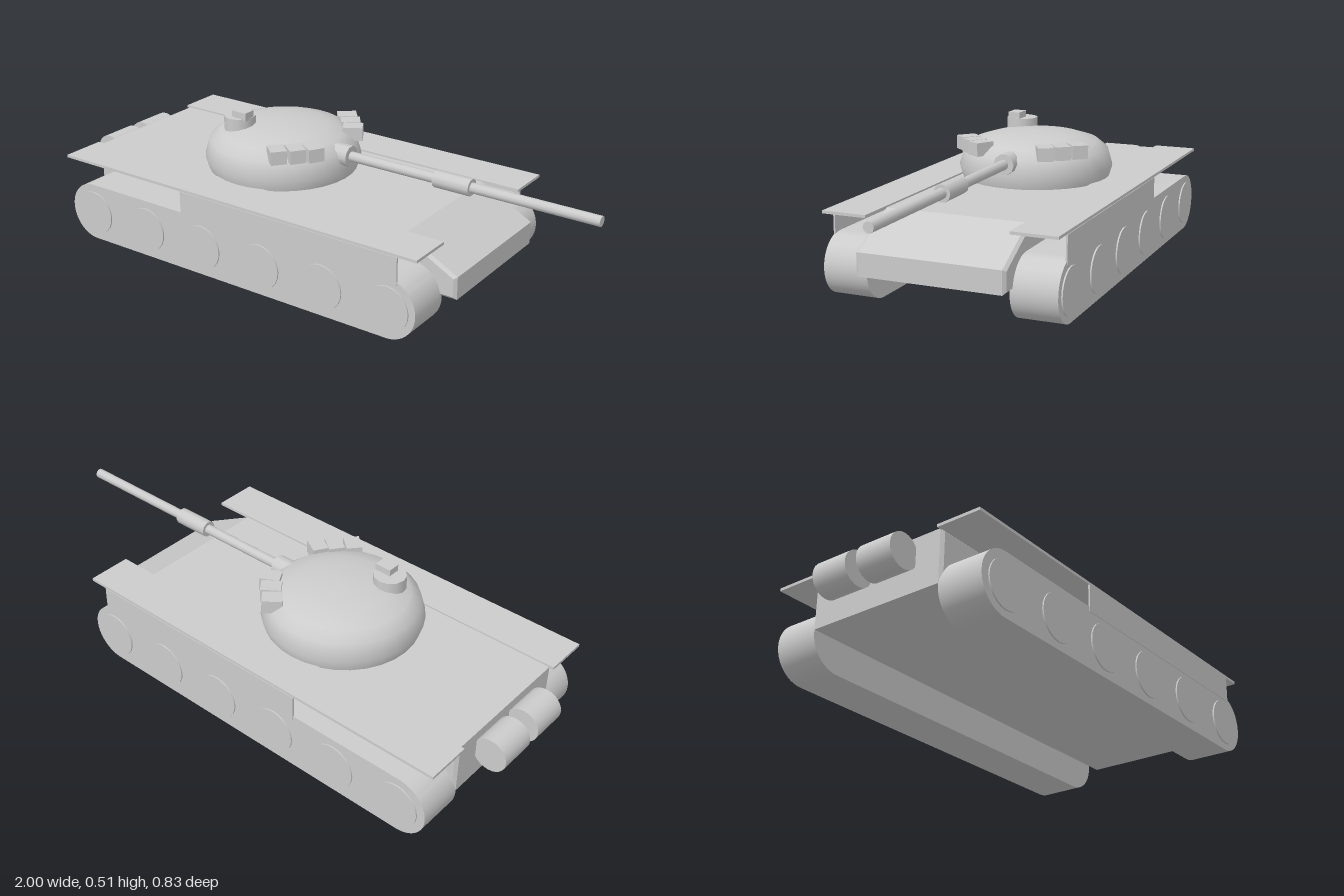
import * as THREE from 'three';
import { toCreasedNormals } from 'three/addons/utils/BufferGeometryUtils.js';

const material = new THREE.MeshStandardMaterial({ color: 0xcccccc });

function add(parent, name, geometry, x = 0, y = 0, z = 0) {
  const mesh = new THREE.Mesh(geometry, material);
  mesh.name = name;
  mesh.position.set(x, y, z);
  parent.add(mesh);
  return mesh;
}

// Box given by its limits on each axis
function addBox(parent, name, [x0, x1], [y0, y1], [z0, z1]) {
  return add(parent, name, new THREE.BoxGeometry(x1 - x0, y1 - y0, z1 - z0),
    (x0 + x1) / 2, (y0 + y1) / 2, (z0 + z1) / 2);
}

// Cylinder lying along x from x0 to x1
function addRod(parent, name, radius, x0, x1, y, sides) {
  const geometry = new THREE.CylinderGeometry(radius, radius, x1 - x0, sides).rotateZ(-Math.PI / 2);
  return add(parent, name, geometry, (x0 + x1) / 2, y, 0);
}

// Cylinder lying along z
function addDrum(parent, name, radius, length, x, y, z) {
  return add(parent, name, new THREE.CylinderGeometry(radius, radius, length, 24).rotateX(Math.PI / 2), x, y, z);
}

function createHull() {
  const hull = new THREE.Group();
  hull.name = 'hull';

  // Side profile with a sloped front plate and chamfered long edges
  const profile = new THREE.Shape([[-0.89, 0.115], [0.645, 0.115], [0.645, 0.195], [0.45, 0.297], [-0.89, 0.297]]
    .map(([x, y]) => new THREE.Vector2(x, y)));
  const body = new THREE.ExtrudeGeometry(profile, {
    depth: 0.5, bevelEnabled: true, bevelSegments: 1, bevelSize: 0.01, bevelThickness: 0.01, bevelOffset: -0.01,
  });
  add(hull, 'hullBody', body.translate(0, 0, -0.25));

  // Fuel drums across the rear
  for (const side of [-1, 1]) addDrum(hull, 'rearDrum', 0.06, 0.135, -0.94, 0.23, side * 0.09);
  return hull;
}

function createRunningGear(side) {
  const gear = new THREE.Group();
  gear.name = side > 0 ? 'frontTrackAssembly' : 'backTrackAssembly';

  // Track: a rounded loop extruded across its width
  const radius = 0.107;
  const loop = new THREE.Shape();
  loop.absarc(0.483, radius, radius, -Math.PI / 2, Math.PI / 2);
  loop.absarc(-0.783, radius, radius, Math.PI / 2, Math.PI * 1.5);
  loop.closePath();
  const track = new THREE.ExtrudeGeometry(loop, { depth: 0.16, bevelEnabled: false, curveSegments: 16 });
  add(gear, 'track', toCreasedNormals(track, 0.6), 0, 0, side * 0.33 - 0.08);

  // Road wheels stand slightly proud of the track
  for (let i = 0; i < 6; i++) {
    addDrum(gear, 'roadWheel', 0.081, 0.02, -0.78 + i * 0.253, 0.105, side * 0.405);
  }

  // Fender and the skirt hanging below its outer edge
  const across = (a, b) => (side > 0 ? [a, b] : [-b, -a]);
  addBox(gear, 'fender', [-0.905, 0.59], [0.293, 0.303], across(0.25, 0.41));
  addBox(gear, 'sideSkirt', [-0.36, 0.52], [0.197, 0.293], across(0.406, 0.412));
  return gear;
}

function createTurret() {
  const turret = new THREE.Group();
  turret.name = 'turret';
  turret.position.x = -0.225;

  // Low domed shell
  const profile = [[0, 0.295], [0.267, 0.295], [0.28, 0.338], [0.262, 0.4], [0.225, 0.43],
    [0.16, 0.45], [0.1, 0.459], [0.02, 0.465], [0, 0.465]].map(([r, y]) => new THREE.Vector2(r, y));
  add(turret, 'turretShell', toCreasedNormals(new THREE.LatheGeometry(profile, 32), 0.7));

  // Commander's cupola and sight
  add(turret, 'cupola', new THREE.CylinderGeometry(0.057, 0.057, 0.067, 12), -0.113, 0.453, 0.103);
  addBox(turret, 'cupolaSight', [-0.12, -0.06], [0.48, 0.51], [0.092, 0.137]);

  // Three launcher boxes on each cheek, fanned outwards
  const launchers = [[0.132, 0.21, 40], [0.177, 0.166, 36], [0.218, 0.122, 30]];
  for (const side of [-1, 1]) {
    for (const [x, z, degrees] of launchers) {
      const box = add(turret, 'launcherBox', new THREE.BoxGeometry(0.07, 0.048, 0.056), x, 0.424, side * z);
      box.rotation.y = -side * THREE.MathUtils.degToRad(degrees);
    }
  }
  return turret;
}

function createGun() {
  const gun = new THREE.Group();
  gun.name = 'gun';
  addRod(gun, 'mantlet', 0.038, -0.03, 0.07, 0.387, 10);
  addRod(gun, 'barrel', 0.018, 0, 1, 0.387, 10);
  addRod(gun, 'barrelSleeve', 0.03, 0.41, 0.545, 0.387, 10);
  return gun;
}

export function createModel() {
  const tank = new THREE.Group();
  tank.name = 'tank';
  tank.add(createHull(), createRunningGear(1), createRunningGear(-1), createTurret(), createGun());
  return tank;
}
